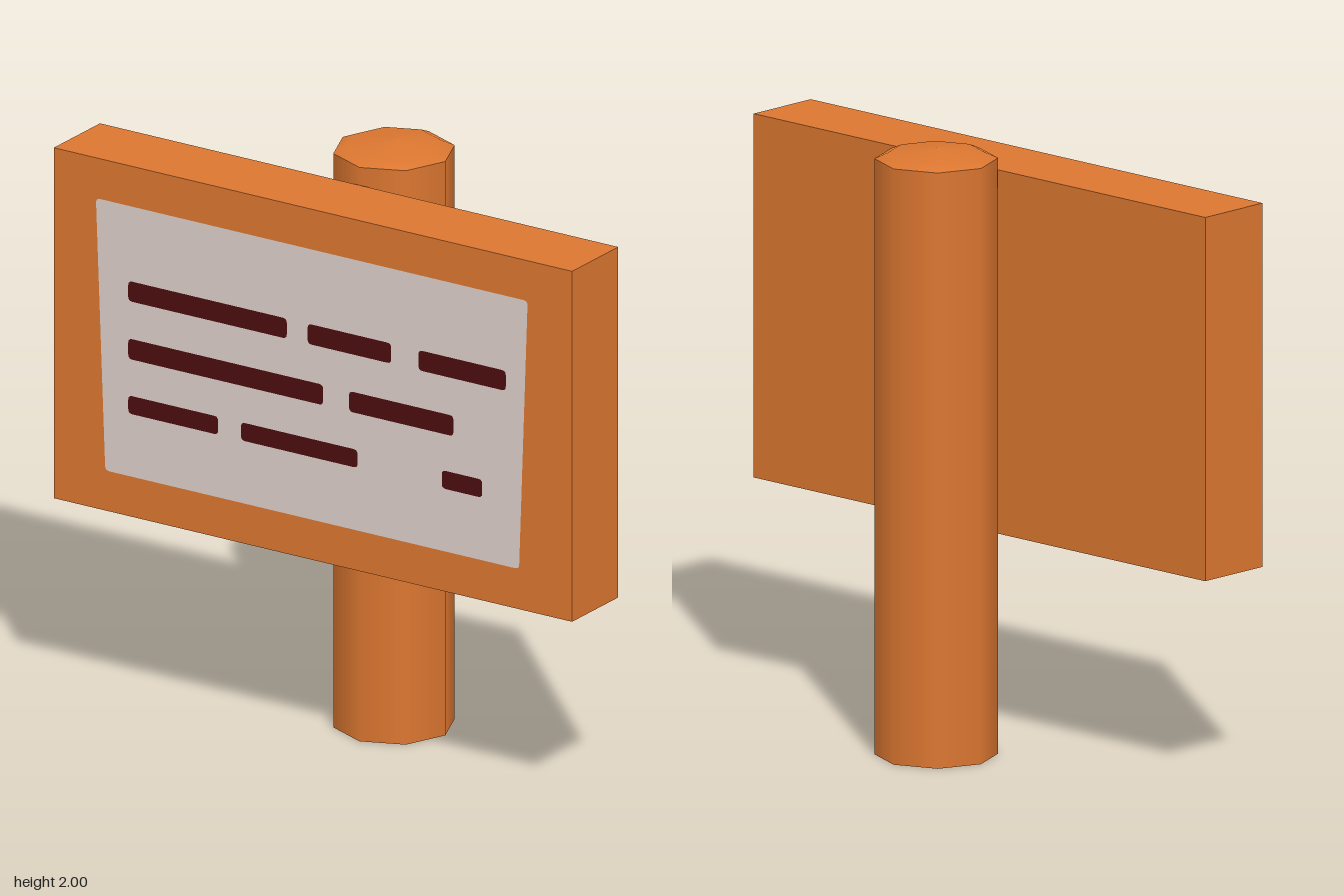
import * as THREE from 'three';

const wood = new THREE.MeshStandardMaterial({ color: 0xdb7630 });
wood.name = 'wood';
const paper = new THREE.MeshStandardMaterial({ color: 0xdccfc9 });
paper.name = 'paper';
const ink = new THREE.MeshStandardMaterial({ color: 0x4d0d10 });
ink.name = 'ink';

const FRONT = 0.33; // front face of the board

function addMesh(group, name, geometry, material, x = 0, y = 0, z = 0) {
  const mesh = new THREE.Mesh(geometry, material);
  mesh.name = name;
  mesh.position.set(x, y, z);
  group.add(mesh);
  return mesh;
}

// Flat polygon with slightly clipped, rounded corners
function roundedPolygon(corners, r) {
  const shape = new THREE.Shape();
  const pts = corners.map(([x, y]) => new THREE.Vector2(x, y));
  pts.forEach((p, i) => {
    const prev = pts[(i + pts.length - 1) % pts.length];
    const next = pts[(i + 1) % pts.length];
    const a = p.clone().add(prev.clone().sub(p).setLength(r));
    const b = p.clone().add(next.clone().sub(p).setLength(r));
    if (i === 0) shape.moveTo(a.x, a.y);
    else shape.lineTo(a.x, a.y);
    shape.quadraticCurveTo(p.x, p.y, b.x, b.y);
  });
  shape.closePath();
  return new THREE.ShapeGeometry(shape, 3);
}

export function createModel() {
  const model = new THREE.Group();
  model.name = 'signpost';

  // Eight-sided post with smooth sides, a flat base and a shallow domed top
  const post = new THREE.Group();
  post.name = 'post';
  post.position.z = -0.135;
  model.add(post);
  addMesh(post, 'postShaft', new THREE.CylinderGeometry(0.198, 0.198, 1.965, 8, 1, true), wood, 0, 0.9825, 0);
  const base = addMesh(post, 'postBase', new THREE.CircleGeometry(0.198, 8), wood);
  base.rotation.set(Math.PI / 2, 0, Math.PI / 2);
  const dome = [[0.198, 1.965], [0.155, 1.984], [0, 2]].map(([x, y]) => new THREE.Vector2(x, y));
  addMesh(post, 'postTop', new THREE.LatheGeometry(dome, 8), wood);

  // Board
  addMesh(model, 'board', new THREE.BoxGeometry(2, 1.2, 0.265), wood, 0, 1.305, FRONT - 0.1325);

  // Notice sheet, a little wider at the top
  const sheet = roundedPolygon([[-0.8, 0.843], [0.797, 0.843], [0.83, 1.768], [-0.836, 1.768]], 0.015);
  addMesh(model, 'noticeSheet', sheet, paper, 0, 0, FRONT + 0.002);

  // Rows of dashes: [bottom, top, [left, right] ...]
  const rows = [
    [1.443, 1.512, [-0.71, -0.098], [-0.018, 0.305], [0.41, 0.747]],
    [1.245, 1.315, [-0.71, 0.042], [0.142, 0.545]],
    [1.058, 1.12, [-0.71, -0.363], [-0.275, 0.175], [0.5, 0.656]],
  ];
  const dashes = new THREE.Group();
  dashes.name = 'dashes';
  model.add(dashes);
  for (const [y0, y1, ...spans] of rows) {
    for (const [x0, x1] of spans) {
      const dash = roundedPolygon([[x0, y0], [x1, y0], [x1, y1], [x0, y1]], 0.015);
      addMesh(dashes, 'dash', dash, ink, 0, 0, FRONT + 0.004);
    }
  }
  return model;
}
